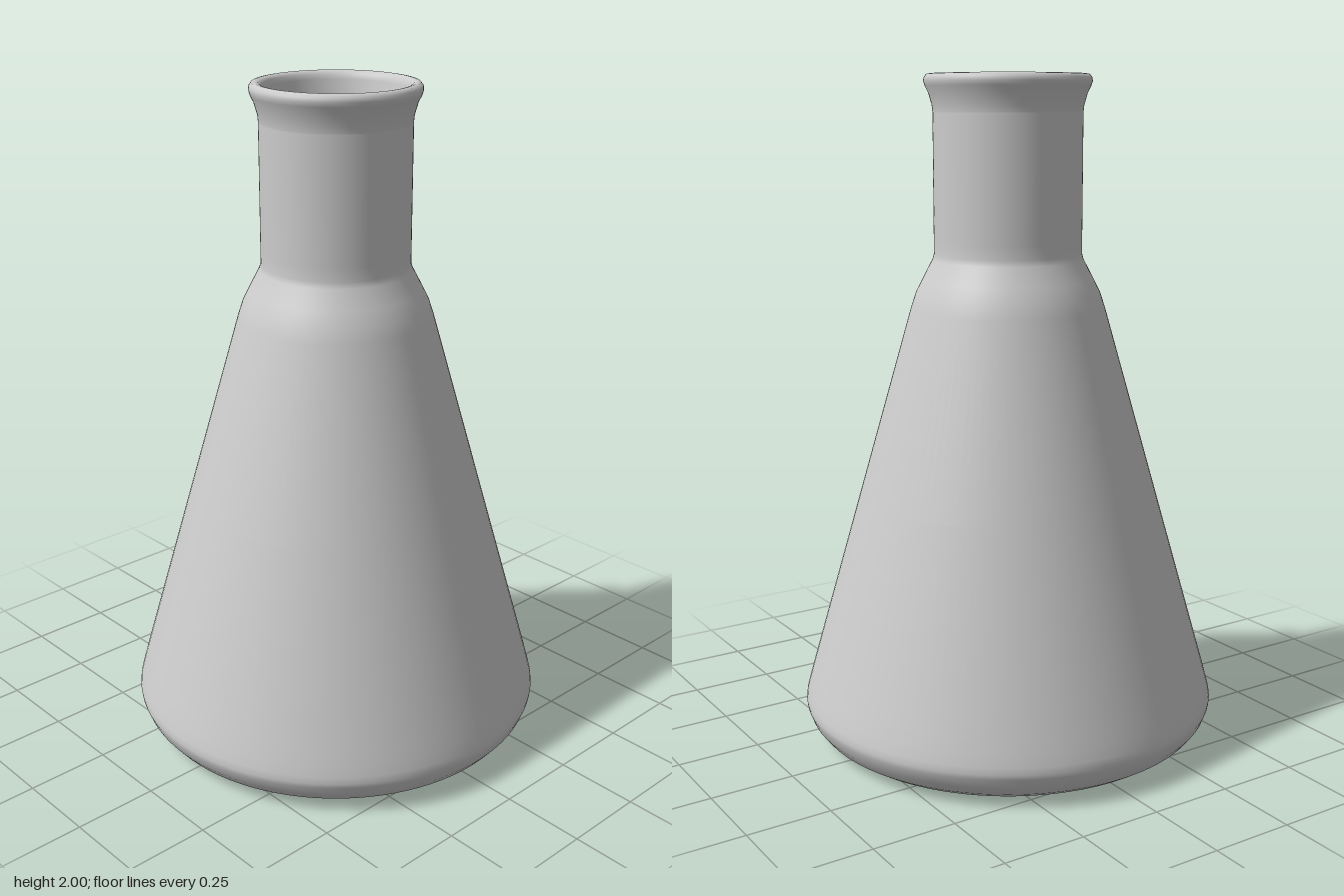
import * as THREE from 'three';

const SEGMENTS = 96;

export function createModel() {
  const group = new THREE.Group();
  group.name = 'conicalFlask';
  const glass = new THREE.MeshStandardMaterial({ color: 0xcccccc });
  glass.name = 'paleGrey';

  const addLathe = (name, profile) => {
    const points = profile.map(([r, y]) => new THREE.Vector2(r, y));
    const mesh = new THREE.Mesh(new THREE.LatheGeometry(points, SEGMENTS), glass);
    mesh.name = name;
    group.add(mesh);
  };

  // Flat base with a rounded heel
  addLathe('base', [
    [0, 0], [0.5, 0], [0.53, 0.003], [0.565, 0.015], [0.595, 0.035],
    [0.618, 0.064], [0.63, 0.095], [0.632, 0.11], [0.629, 0.13], [0.62, 0.163],
  ]);

  // Conical body, shoulder and straight neck
  addLathe('body', [
    [0.62, 0.163], [0.61, 0.2], [0.45, 0.76], [0.29, 1.32], [0.275, 1.365],
    [0.255, 1.405], [0.225, 1.462], [0.22, 1.48], [0.22, 1.52],
    [0.22, 1.86], [0.22, 1.9],
  ]);

  // Flared lip with a rolled rim, turning into the mouth
  addLathe('lip', [
    [0.22, 1.89], [0.222, 1.91], [0.232, 1.945], [0.242, 1.965], [0.246, 1.978],
    [0.245, 1.989], [0.238, 1.998], [0.228, 2], [0.218, 1.998],
    [0.21, 1.99], [0.206, 1.975], [0.203, 1.95], [0.195, 1.91], [0.194, 1.88],
  ]);

  // Inner wall, running down to the floor
  addLathe('innerWall', [
    [0.194, 1.88], [0.194, 1.52], [0.195, 1.48], [0.23, 1.395], [0.265, 1.31],
    [0.425, 0.75], [0.59, 0.17], [0.604, 0.11], [0.59, 0.07], [0.55, 0.037], [0.5, 0.03],
  ]);
  addLathe('innerFloor', [[0.5, 0.03], [0, 0.03]]);

  return group;
}
